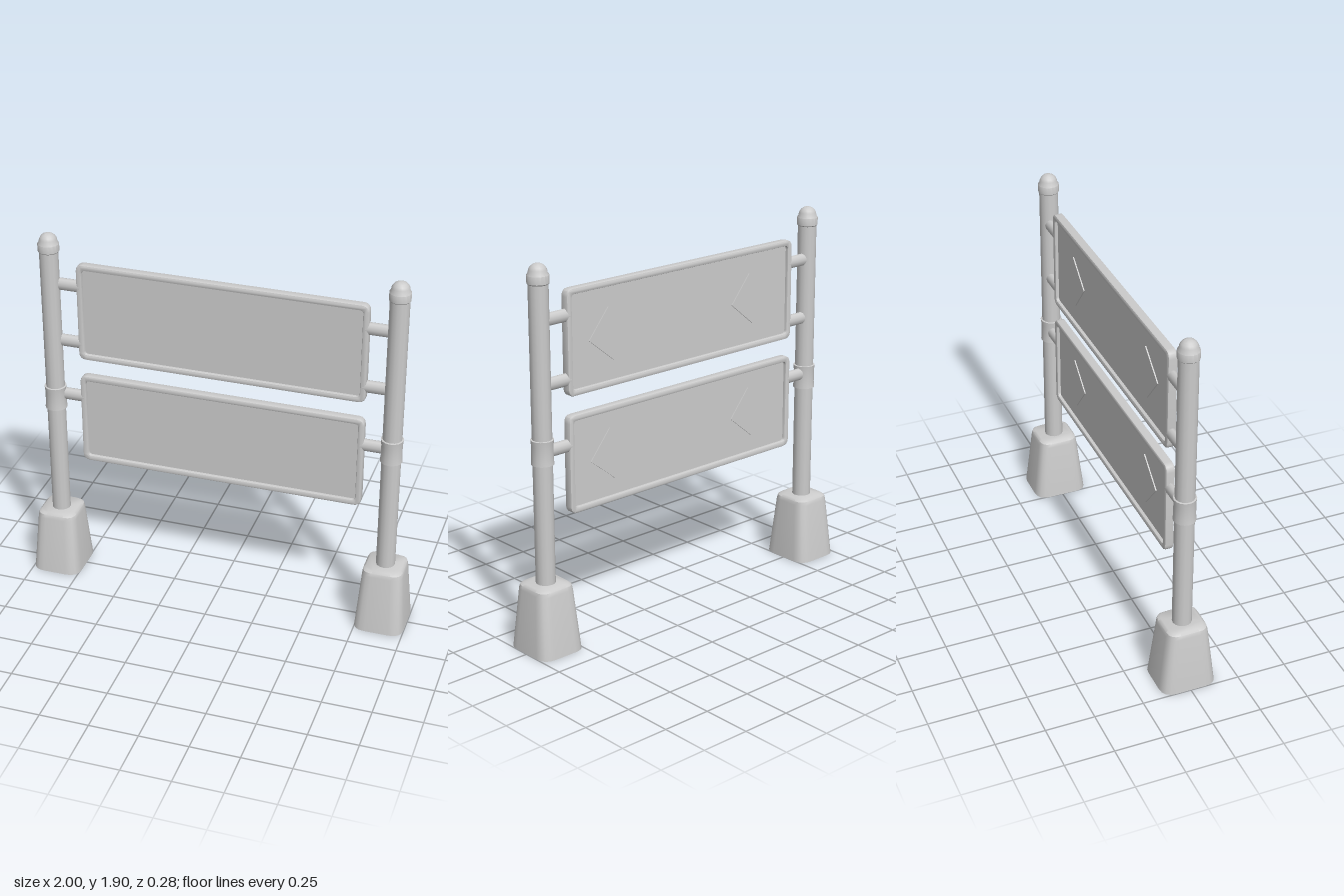
import * as THREE from 'three';
import { toCreasedNormals } from 'three/addons/utils/BufferGeometryUtils.js';

const POST_X = 0.872;
const PANEL_Z = -0.01;
const mat = new THREE.MeshStandardMaterial({ color: 0xcccccc });

function part(name, geometry, x = 0, y = 0, z = 0) {
  const mesh = new THREE.Mesh(geometry, mat);
  mesh.name = name;
  mesh.position.set(x, y, z);
  return mesh;
}

// Rounded rectangle outline, usable as a Shape or as a hole
function roundedRect(w, h, r, Type = THREE.Shape) {
  const x = w / 2, y = h / 2, s = new Type();
  s.moveTo(-x + r, -y);
  s.lineTo(x - r, -y);
  s.quadraticCurveTo(x, -y, x, -y + r);
  s.lineTo(x, y - r);
  s.quadraticCurveTo(x, y, x - r, y);
  s.lineTo(-x + r, y);
  s.quadraticCurveTo(-x, y, -x, y - r);
  s.lineTo(-x, -y + r);
  s.quadraticCurveTo(-x, -y, -x + r, -y);
  return s;
}

// Tapered foot: loops of rounded rectangles stacked in y, capped at both ends
function footGeometry() {
  const sections = [
    [0, 0.255, 0.283], [0.31, 0.208, 0.212], [0.33, 0.2, 0.203], [0.34, 0.175, 0.177],
  ];
  const pos = [], index = [];
  let n = 0;
  for (const [y, w, d] of sections) {
    const pts = roundedRect(w, d, w * 0.26).getPoints(4).slice(0, -1);
    n = pts.length;
    for (const p of pts) pos.push(p.x, y, -p.y);
  }
  for (let j = 0; j < sections.length - 1; j++) {
    for (let i = 0; i < n; i++) {
      const a = j * n + i, b = j * n + (i + 1) % n;
      index.push(a, b, b + n, a, b + n, a + n);
    }
  }
  const top = (sections.length - 1) * n;
  for (let i = 1; i < n - 1; i++) {
    index.push(0, i + 1, i, top, top + i, top + i + 1);
  }
  const g = new THREE.BufferGeometry();
  g.setAttribute('position', new THREE.Float32BufferAttribute(pos, 3));
  g.setIndex(index);
  return toCreasedNormals(g, 0.7);
}

function lathe(points, segments = 16) {
  const g = new THREE.LatheGeometry(points.map(([r, y]) => new THREE.Vector2(r, y)), segments);
  return toCreasedNormals(g, 0.7);
}

// Post with foot, collar, domed cap and clamp
function createPost(x) {
  const post = new THREE.Group();
  post.name = 'post';
  post.position.x = x;
  post.add(part('foot', footGeometry()));
  post.add(part('pole', new THREE.CylinderGeometry(0.048, 0.048, 1.52, 14, 1, true), 0, 1.08));
  const cap = [[0.046, 1.805], [0.053, 1.812], [0.053, 1.85], [0.046, 1.86]];
  for (let i = 1; i <= 5; i++) {
    const a = (i / 5) * Math.PI / 2;
    cap.push([Math.max(0, 0.046 * Math.cos(a)), 1.86 + 0.045 * Math.sin(a)]);
  }
  post.add(part('cap', lathe(cap)));
  post.add(part('clamp', lathe([
    [0.046, 0.94], [0.056, 0.942], [0.053, 0.97], [0.053, 1.035], [0.056, 1.063], [0.046, 1.065],
  ])));
  return post;
}

// Framed board with two turned square plates on its back
function createBoard(name, bottom, top) {
  const board = new THREE.Group();
  board.name = name;
  board.position.set(0, (bottom + top) / 2, PANEL_Z);
  const w = 1.465, h = top - bottom, rail = 0.03, bevel = 0.008;

  const outline = roundedRect(w - 2 * bevel, h - 2 * bevel, 0.03);
  outline.holes.push(roundedRect(w - 2 * rail + 2 * bevel, h - 2 * rail + 2 * bevel, 0.025, THREE.Path));
  const frame = new THREE.ExtrudeGeometry(outline, {
    depth: 0.03, bevelEnabled: true, bevelThickness: bevel, bevelSize: bevel, bevelSegments: 2, curveSegments: 4,
  });
  frame.translate(0, 0, -0.015);
  board.add(part('frame', toCreasedNormals(frame, 0.6)));
  board.add(part('panel', new THREE.BoxGeometry(w - rail, h - rail, 0.012)));

  for (const x of [-0.455, 0.465]) {
    const plate = part('backPlate', new THREE.BoxGeometry(0.187, 0.187, 0.006), x, 0, -0.009);
    plate.rotation.z = Math.PI / 4 - 0.1;
    board.add(plate);
  }
  return board;
}

// Oval arm joining a post to a board
function createArm(side, y) {
  const g = new THREE.CylinderGeometry(0.032, 0.032, 0.15, 12);
  g.rotateZ(Math.PI / 2);
  g.scale(1, 1, 0.75);
  return part('arm', g, side * 0.79, y, PANEL_Z);
}

export function createModel() {
  const model = new THREE.Group();
  model.name = 'signStand';
  model.add(createBoard('upperBoard', 1.24, 1.76));
  model.add(createBoard('lowerBoard', 0.655, 1.147));
  for (const side of [-1, 1]) {
    model.add(createPost(side * POST_X));
    for (const y of [1.635, 1.325, side < 0 ? 1.02 : 1.0]) model.add(createArm(side, y));
  }
  return model;
}
